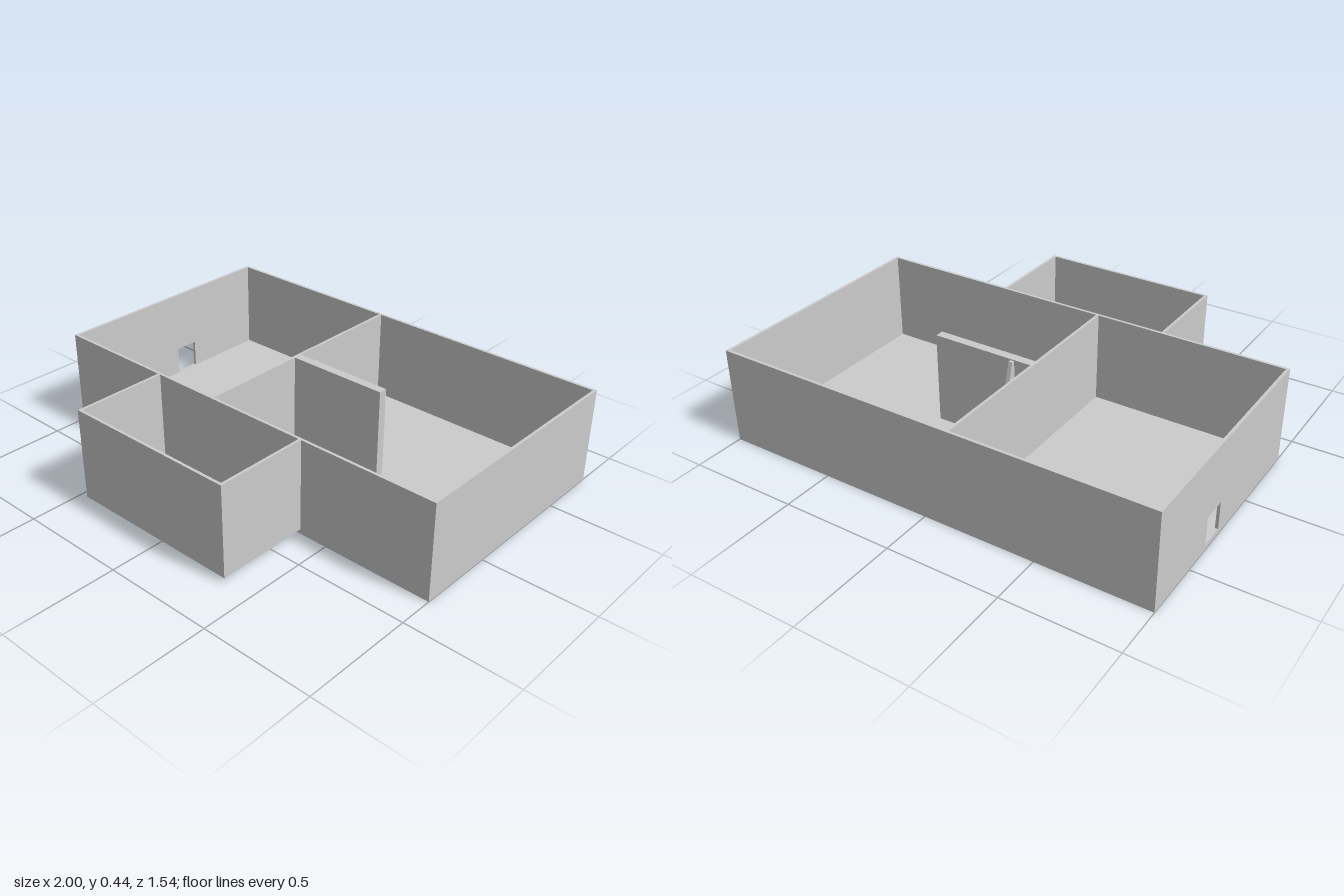
import * as THREE from 'three';

const TOP = 0.435, FLOOR = 0.022, T = 0.013;

export function createModel() {
  const house = new THREE.Group();
  house.name = 'floorPlan';
  const material = new THREE.MeshStandardMaterial({ color: 0xcccccc, flatShading: true });

  const add = (name, geometry) => {
    const mesh = new THREE.Mesh(geometry, material);
    mesh.name = name;
    house.add(mesh);
    return mesh;
  };
  // Box given by its limits on each axis
  const block = (name, x0, x1, y0, y1, z0, z1) =>
    add(name, new THREE.BoxGeometry(x1 - x0, y1 - y0, z1 - z0))
      .position.set((x0 + x1) / 2, (y0 + y1) / 2, (z0 + z1) / 2);
  const wall = (name, x0, x1, z0, z1) => block(name, x0, x1, FLOOR, TOP, z0, z1);
  // Upright panel drawn in the z-y plane and given a thickness along x
  const sidePanel = (name, points, x0, x1, hole) => {
    const toShape = (list) => list.map(([z, y]) => new THREE.Vector2(-z, y));
    const shape = new THREE.Shape(toShape(points));
    if (hole) shape.holes.push(new THREE.Path(toShape(hole)));
    const geometry = new THREE.ExtrudeGeometry(shape, { depth: x1 - x0, bevelEnabled: false });
    add(name, geometry.rotateY(Math.PI / 2).translate(x0, 0, 0));
  };

  // Main building: slab and outer walls
  const back = -0.77, front = 0.345;
  block('mainFloor', -1, 1, 0, FLOOR, back, front);
  wall('backWall', -1, 1, back, back + T);
  wall('frontWall', -1, 1, front - T, front);
  wall('leftWall', 1 - T, 1, back + T, front - T);

  // Right wall with a small doorway
  const z0 = back + T, z1 = front - T;
  sidePanel('rightWallWithDoorway',
    [[z0, FLOOR], [z1, FLOOR], [z1, TOP], [z0, TOP]], -1, -1 + T,
    [[-0.367, FLOOR + 0.002], [-0.367, 0.15], [-0.254, 0.15], [-0.254, FLOOR + 0.002]]);

  // Inner walls
  wall('dividingWall', -0.128, -0.115, z0, z1);
  wall('partition', -0.115, 0.355, -0.195, -0.155);

  // Sloping brace behind the partition
  sidePanel('partitionBrace',
    [[-0.31, FLOOR], [-0.195, FLOOR], [-0.195, TOP - 0.005], [-0.21, TOP - 0.005]], -0.038, -0.02);

  // Front annex, raised to the level of the slab top
  const ax0 = -0.44, ax1 = 0.37, az = 0.77;
  block('annexFloor', ax0, ax1, FLOOR, FLOOR + 0.008, front, az);
  wall('annexFrontWall', ax0, ax1, az - T, az);
  wall('annexRightWall', ax0, ax0 + T, front, az - T);
  wall('annexLeftWall', ax1 - T, ax1, front, az - T);

  return house;
}
